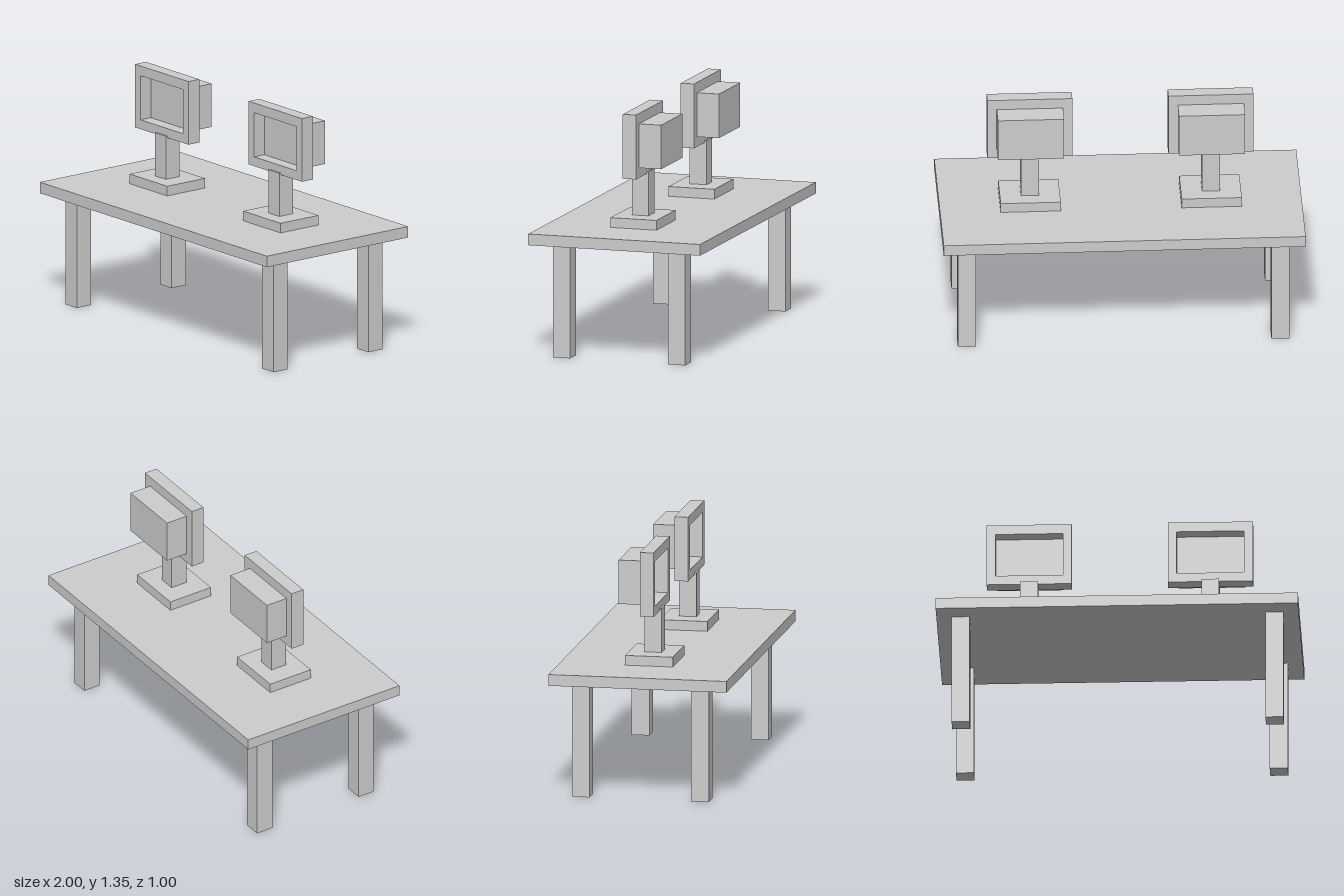
import * as THREE from 'three';

export function createModel() {
  const grey = new THREE.MeshStandardMaterial({ color: 0xcccccc });
  grey.name = 'light grey';

  // Box given by its min and max corner
  function box(name, [x0, y0, z0], [x1, y1, z1]) {
    const mesh = new THREE.Mesh(new THREE.BoxGeometry(x1 - x0, y1 - y0, z1 - z0), grey);
    mesh.position.set((x0 + x1) / 2, (y0 + y1) / 2, (z0 + z1) / 2);
    mesh.name = name;
    return mesh;
  }

  function rectangle(path, x0, y0, x1, y1) {
    return path.moveTo(x0, y0).lineTo(x1, y0).lineTo(x1, y1).lineTo(x0, y1).closePath();
  }

  // Desk
  const model = new THREE.Group();
  model.name = 'deskWithMonitors';
  model.add(box('deskTop', [-1, 0.637, -0.5], [1, 0.7, 0.5]));
  for (const x of [-0.866, 0.866]) {
    for (const z of [-0.335, 0.335]) {
      const name = (z > 0 ? 'front' : 'back') + (x > 0 ? 'Left' : 'Right') + 'Leg';
      model.add(box(name, [x - 0.05, 0, z - 0.05], [x + 0.05, 0.637, z + 0.05]));
    }
  }

  // Monitors: foot, stem, open bezel, recessed screen and rear housing
  for (const x of [-0.5, 0.5]) {
    const monitor = new THREE.Group();
    monitor.name = x > 0 ? 'leftMonitor' : 'rightMonitor';
    monitor.position.x = x;

    monitor.add(box('foot', [-0.166, 0.7, -0.134], [0.166, 0.755, 0.134]));
    monitor.add(box('stem', [-0.049, 0.755, -0.049], [0.049, 1.002, 0.049]));

    const outline = rectangle(new THREE.Shape(), -0.235, 0.991, 0.235, 1.352);
    outline.holes.push(rectangle(new THREE.Path(), -0.187, 1.044, 0.187, 1.296));
    const bezel = new THREE.Mesh(
      new THREE.ExtrudeGeometry(outline, { depth: 0.077, bevelEnabled: false }), grey);
    bezel.position.z = -0.038;
    bezel.name = 'bezel';
    monitor.add(bezel);

    monitor.add(box('screen', [-0.187, 1.044, -0.038], [0.187, 1.296, -0.034]));
    monitor.add(box('housing', [-0.183, 1.047, -0.167], [0.183, 1.294, -0.038]));
    model.add(monitor);
  }

  return model;
}
